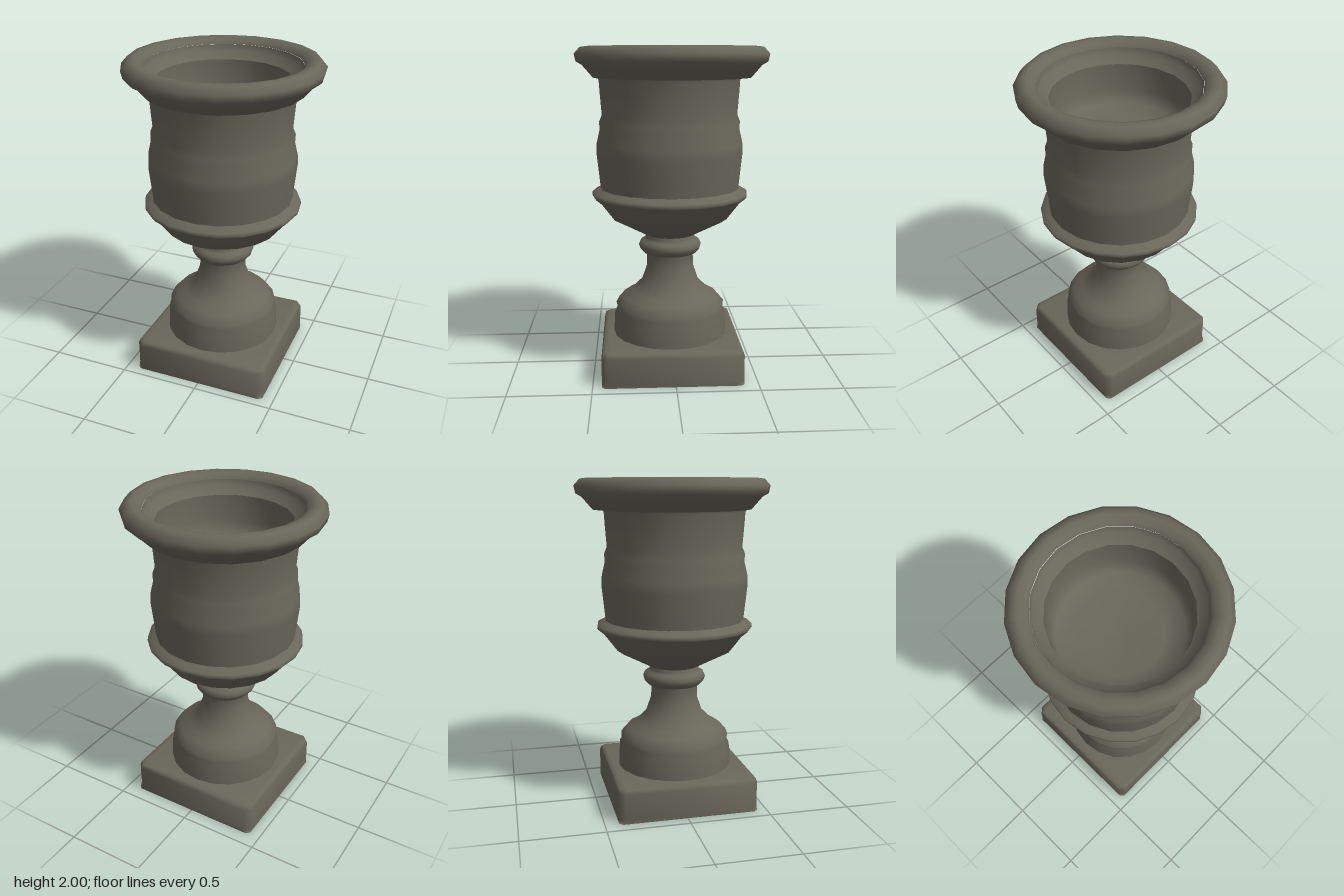
import * as THREE from 'three';
import { toCreasedNormals } from 'three/addons/utils/BufferGeometryUtils.js';

export function createModel() {
  const model = new THREE.Group();
  model.name = 'gardenUrn';
  const stone = new THREE.MeshStandardMaterial({ color: 0x69665a });
  stone.name = 'weathered stone';

  const add = (name, geometry, z = 0.015) => {
    const mesh = new THREE.Mesh(geometry, stone);
    mesh.name = name;
    mesh.position.z = z;
    model.add(mesh);
    return mesh;
  };
  // Turned part: profile of [radius, height] from the bottom up
  const turn = (name, profile, z) =>
    add(name, new THREE.LatheGeometry(profile.map(([r, y]) => new THREE.Vector2(r, y)), 20), z);

  // Square plinth: chamfered corners and top edge, square bottom edge
  const half = 0.43, cut = 0.03, inner = half - cut, height = 0.21;
  const outline = new THREE.Shape();
  const corner = inner - 0.02;
  [[inner, -corner], [inner, corner], [corner, inner], [-corner, inner],
    [-inner, corner], [-inner, -corner], [-corner, -inner], [corner, -inner]]
    .forEach(([x, y], i) => (i ? outline.lineTo(x, y) : outline.moveTo(x, y)));
  const plinth = new THREE.ExtrudeGeometry(outline, {
    depth: height - 2 * cut, bevelSize: cut, bevelThickness: cut, bevelSegments: 2,
  });
  plinth.rotateX(-Math.PI / 2).translate(0, cut, 0);
  const pos = plinth.attributes.position;
  for (let i = 0; i < pos.count; i++) {
    if (pos.getY(i) < cut - 0.001) {
      const s = half / Math.max(Math.abs(pos.getX(i)), Math.abs(pos.getZ(i)));
      pos.setXYZ(i, pos.getX(i) * s, pos.getY(i), pos.getZ(i) * s);
    }
  }
  add('plinth', toCreasedNormals(plinth, 0.9));

  // Bell-shaped foot flowing into the stem
  turn('footAndStem', [
    [0.36, 0.2], [0.352, 0.34], [0.335, 0.365], [0.343, 0.4], [0.3, 0.45], [0.245, 0.48],
    [0.18, 0.545], [0.147, 0.64], [0.145, 0.72], [0.16, 0.735],
  ]);

  // Rounded collar under the bowl
  turn('stemCollar', [
    [0.14, 0.725], [0.165, 0.73], [0.188, 0.755], [0.196, 0.78], [0.185, 0.805],
    [0.16, 0.815], [0.155, 0.83], [0.15, 0.85],
  ]);

  // Bowl underside and its raised band
  turn('bowl', [[0.14, 0.84], [0.16, 0.85], [0.36, 0.955], [0.44, 1.06], [0.474, 1.088]]);
  turn('bowlBand', [
    [0.455, 1.085], [0.474, 1.088], [0.483, 1.1], [0.48, 1.12], [0.445, 1.135], [0.425, 1.15],
  ]);

  // Gently swelling cup wall
  turn('cupWall', [
    [0.43, 1.135], [0.432, 1.17], [0.452, 1.36], [0.449, 1.42], [0.43, 1.5], [0.432, 1.55],
    [0.415, 1.59], [0.425, 1.72], [0.43, 1.8], [0.44, 1.82],
  ]);

  // Flared rim, rolled over into the opening
  turn('rim', [
    [0.42, 1.81], [0.48, 1.815], [0.545, 1.89], [0.58, 1.91], [0.591, 1.955],
    [0.555, 1.995], [0.52, 2], [0.48, 1.985], [0.464, 1.96],
  ], 0);

  // Inner lip, wall and floor
  turn('innerLip', [[0.464, 1.96], [0.455, 1.92], [0.4, 1.88]], 0.003);
  turn('innerWallAndFloor', [
    [0.4, 1.88], [0.395, 1.72], [0.36, 1.64], [0.25, 1.61], [0, 1.6],
  ], 0.003);

  return model;
}
